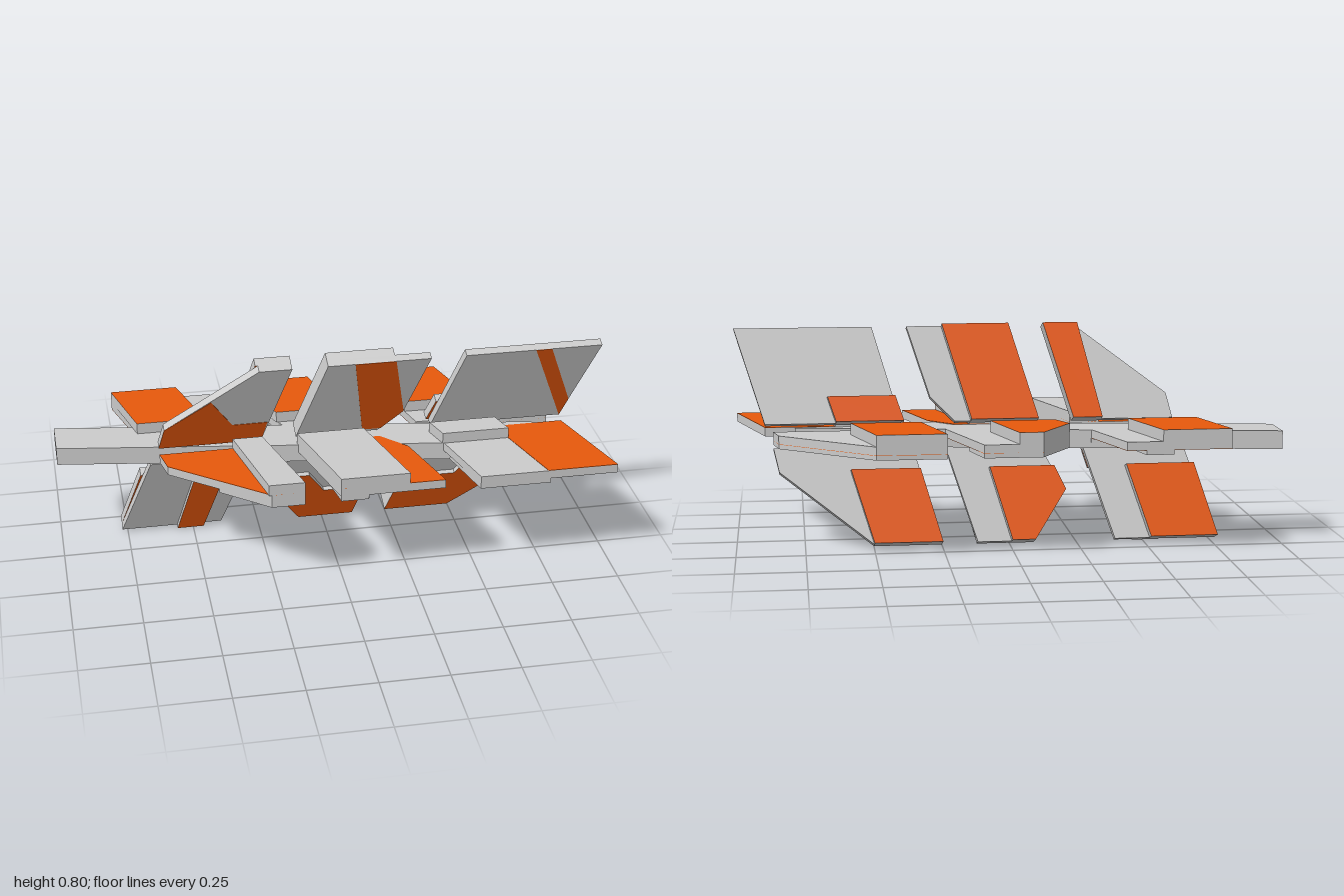
import * as THREE from 'three';

const grey = new THREE.MeshStandardMaterial({ color: 0xcccccc, flatShading: true });
const orange = new THREE.MeshStandardMaterial({ color: 0xe8590c, flatShading: true });

// Flat slab: outline in (x, distance from root), spanning z0..z1 through the fin
function slab(name, points, z0, z1, face = grey, side = grey) {
  const shape = new THREE.Shape(points.map(([x, s]) => new THREE.Vector2(x, s)));
  const geo = new THREE.ExtrudeGeometry(shape, { depth: z1 - z0, bevelEnabled: false });
  geo.translate(0, 0, z0);
  const mesh = new THREE.Mesh(geo, [face, side]);
  mesh.name = name;
  return mesh;
}

const L = 0.364; // fin length

// Outlines shared by the upper and front fins
const leading = [
  {
    plate: [[-0.63, 0], [-0.25, 0], [-0.15, L], [-0.27, L], [-0.61, 0.095]],
    panel: [[-0.36, 0], [-0.25, 0], [-0.15, L], [-0.28, L]],
    mark: [[-0.63, 0], [-0.25, 0], [-0.23, 0.095], [-0.36, 0.095], [-0.44, 0.225], [-0.61, 0.095]],
    under: [[-0.36, 0.1], [-0.222, 0.1], [-0.15, L], [-0.27, L], [-0.44, 0.225]],
    underFace: grey,
  },
  {
    plate: [[-0.12, 0], [0.19, 0], [0.28, 0.095], [0.36, L], [-0.02, L]],
    panel: [[-0.12, 0], [0.13, 0], [0.23, L], [-0.02, L]],
    mark: [[0.13, 0.01], [0.2, 0.01], [0.28, 0.095], [0.23, L], [0.08, L]],
    under: [[-0.06, 0.13], [0.13, 0.13], [0.08, L], [-0.02, L]],
    underFace: orange,
  },
  {
    plate: [[0.39, 0], [0.89, 0], [1, L], [0.49, L]],
    panel: [[0.38, 0], [0.63, 0], [0.66, 0.095], [0.41, 0.095]],
    mark: [[0.89, 0], [0.915, 0.085], [0.81, L], [0.75, L]],
    under: [[0.43, 0.13], [0.68, 0.13], [0.75, L], [0.49, L]],
    underFace: orange,
    top: [[0.63, 0], [0.89, 0], [1, L], [0.74, L]],
  },
];

// Outlines shared by the lower and rear fins
const trailing = [
  {
    plate: [[-0.66, 0], [-0.77, L], [-0.39, L], [-0.28, 0]],
    panel: [[-0.695, 0.09], [-0.77, L], [-0.52, L], [-0.44, 0.09]],
    layer: [[-0.48, 0], [-0.56, L], [-0.46, L], [-0.39, 0.1], [-0.305, 0.09], [-0.28, 0]],
  },
  {
    plate: [[-0.12, 0], [-0.21, 0.18], [-0.09, L], [0.12, L], [0.23, 0]],
    panel: [[-0.17, 0.09], [-0.21, 0.18], [-0.09, L], [-0.005, L], [0.07, 0.09]],
    layer: [[-0.19, 0.12], [-0.21, 0.18], [-0.09, L], [0.12, L], [0.16, 0.215], [0, 0.215], [-0.06, 0.12]],
  },
  {
    plate: [[0.35, 0], [0.25, L], [0.5, L], [0.84, 0.09], [0.86, 0]],
    panel: [[0.325, 0.09], [0.25, L], [0.5, L], [0.58, 0.09]],
    layer: [[0.3, 0.18], [0.25, L], [0.5, L], [0.84, 0.09], [0.86, 0], [0.62, 0], [0.51, 0.18]],
  },
];

// Group whose outlines fold around the long axis by the given angle
function finRow(name, degrees, y, z, parts) {
  const row = new THREE.Group();
  row.name = name;
  row.rotation.x = THREE.MathUtils.degToRad(degrees);
  row.position.set(0, y, z);
  row.add(...parts);
  return row;
}

export function createModel() {
  const model = new THREE.Group();
  model.name = 'finnedStructure';

  // Slanted central beam, sheared so that its ends stay square to x
  const beamGeo = new THREE.BoxGeometry(1.78, 0.068, 0.16);
  const p = beamGeo.attributes.position;
  for (let i = 0; i < p.count; i++) p.setZ(i, p.getZ(i) + p.getX(i) * 0.147);
  beamGeo.computeVertexNormals();
  const beam = new THREE.Mesh(beamGeo, grey);
  beam.name = 'beam';
  beam.position.set(-0.11, 0.384, -0.022);
  model.add(beam);

  // Upper fins: orange rear panel and orange front marking
  model.add(finRow('upperFins', 20, 0.441, -0.017, leading.flatMap((f) => [
    slab('upperPlate', f.plate, 0, 0.032),
    slab('upperPanel', f.panel, -0.037, 0, orange),
    slab('upperMarking', f.mark, 0.032, 0.0335, orange, orange),
  ])));

  // Front fins: orange top skin, grey raised panel, thin layer beneath
  model.add(finRow('frontFins', 90, 0.419, 0.044, leading.flatMap((f) => [
    slab('frontPlate', f.plate, 0, 0.032),
    slab('frontPanel', f.panel, -0.041, 0),
    slab('frontSkin', f.top || f.plate, -0.0015, 0, orange, orange),
    slab('frontUnderLayer', f.under, 0.032, 0.049, f.underFace),
  ])));

  // Lower fins: orange layer in front, orange panel behind
  model.add(finRow('lowerFins', 200, 0.347, -0.017, trailing.flatMap((f) => [
    slab('lowerPlate', f.plate, 0, 0.03),
    slab('lowerPanel', f.panel, 0.03, 0.068, orange),
    slab('lowerLayer', f.layer, -0.018, 0, orange),
  ])));

  // Rear fins: orange panel on top, grey layer over an orange underside
  model.add(finRow('rearFins', -90, 0.388, -0.045, trailing.flatMap((f) => [
    slab('rearPlate', f.plate, 0, 0.03),
    slab('rearPanel', f.panel, 0.03, 0.072, orange),
    slab('rearSkin', f.plate, -0.0015, 0, orange, orange),
    slab('rearLayer', f.layer, -0.018, 0),
  ])));

  return model;
}
